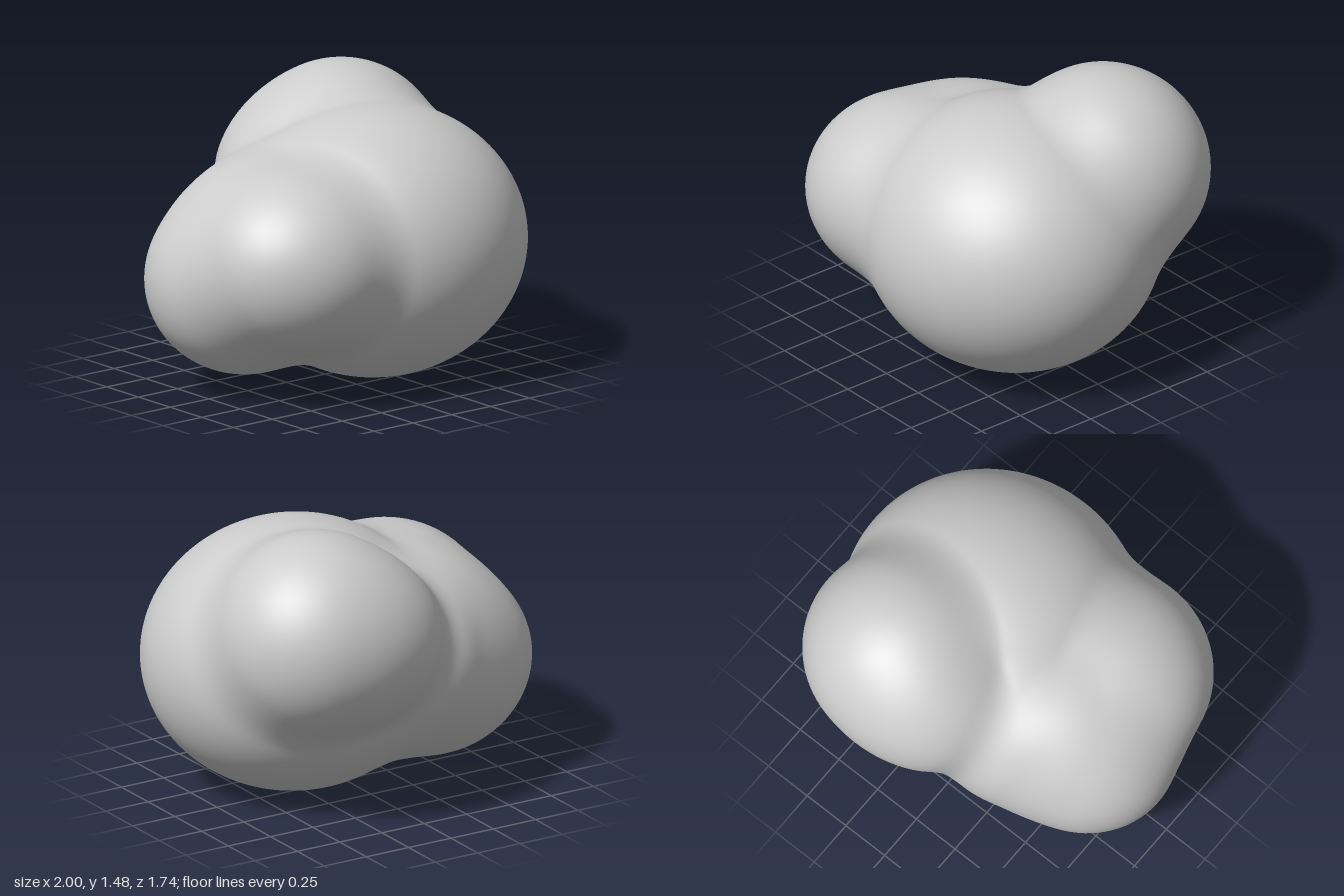
import * as THREE from 'three';
import { mergeVertices } from 'three/addons/utils/BufferGeometryUtils.js';

// Lobes of the body: centre and radii
const LOBES = [
  { c: [0.22, 0.69, 0.12], r: [0.78, 0.69, 0.745] },     // main mass
  { c: [0.385, 0.965, -0.35], r: [0.53, 0.52, 0.52] },   // upper back
  { c: [0.17, 0.92, -0.42], r: [0.42, 0.42, 0.42] },     // shoulder of the upper back
  { c: [-0.4, 0.72, 0.26], r: [0.54, 0.48, 0.53] },      // front side
  { c: [-0.46, 0.58, -0.05], r: [0.54, 0.495, 0.48] },   // rear side
  { c: [-0.21, 0.68, -0.15], r: [0.48, 0.49, 0.49] },    // back middle
  { c: [-0.39, 0.76, -0.03], r: [0.42, 0.4, 0.42] },     // saddle between rear lobes
];
const HUB = new THREE.Vector3(0.0, 0.77, -0.04);
const BLEND = 0.14;

// Distance along a ray from the hub to the far side of a lobe
function exitDistance(dir, { c, r }) {
  const o = [HUB.x - c[0], HUB.y - c[1], HUB.z - c[2]];
  const d = [dir.x, dir.y, dir.z];
  let A = 0, B = 0, C = -1;
  for (let i = 0; i < 3; i++) {
    A += (d[i] / r[i]) ** 2;
    B += (o[i] * d[i]) / r[i] ** 2;
    C += (o[i] / r[i]) ** 2;
  }
  const disc = B * B - A * C;
  return disc < 0 ? 0 : Math.max(0, (-B + Math.sqrt(disc)) / A);
}

// Rounded maximum, so that lobes melt into each other at the creases
function smoothMax(a, b) {
  const h = Math.max(BLEND - Math.abs(a - b), 0) / BLEND;
  return Math.max(a, b) + h * h * BLEND * 0.25;
}

export function createModel() {
  const group = new THREE.Group();
  group.name = 'lumpyBlob';
  const grey = new THREE.MeshStandardMaterial({ color: 0xcccccc });
  grey.name = 'plain grey';

  // One smooth skin pushed out to the lobes
  let geometry = new THREE.IcosahedronGeometry(1, 30);
  geometry.deleteAttribute('uv');
  geometry.deleteAttribute('normal');
  geometry = mergeVertices(geometry, 1e-4);
  const pos = geometry.attributes.position;
  const v = new THREE.Vector3();
  for (let i = 0; i < pos.count; i++) {
    v.fromBufferAttribute(pos, i).normalize();
    const dist = LOBES.map((lobe) => exitDistance(v, lobe)).reduce(smoothMax);
    v.multiplyScalar(dist).add(HUB);
    pos.setXYZ(i, v.x, Math.max(0, v.y), v.z);
  }
  geometry.computeVertexNormals();

  const body = new THREE.Mesh(geometry, grey);
  body.name = 'body';
  group.add(body);
  return group;
}
